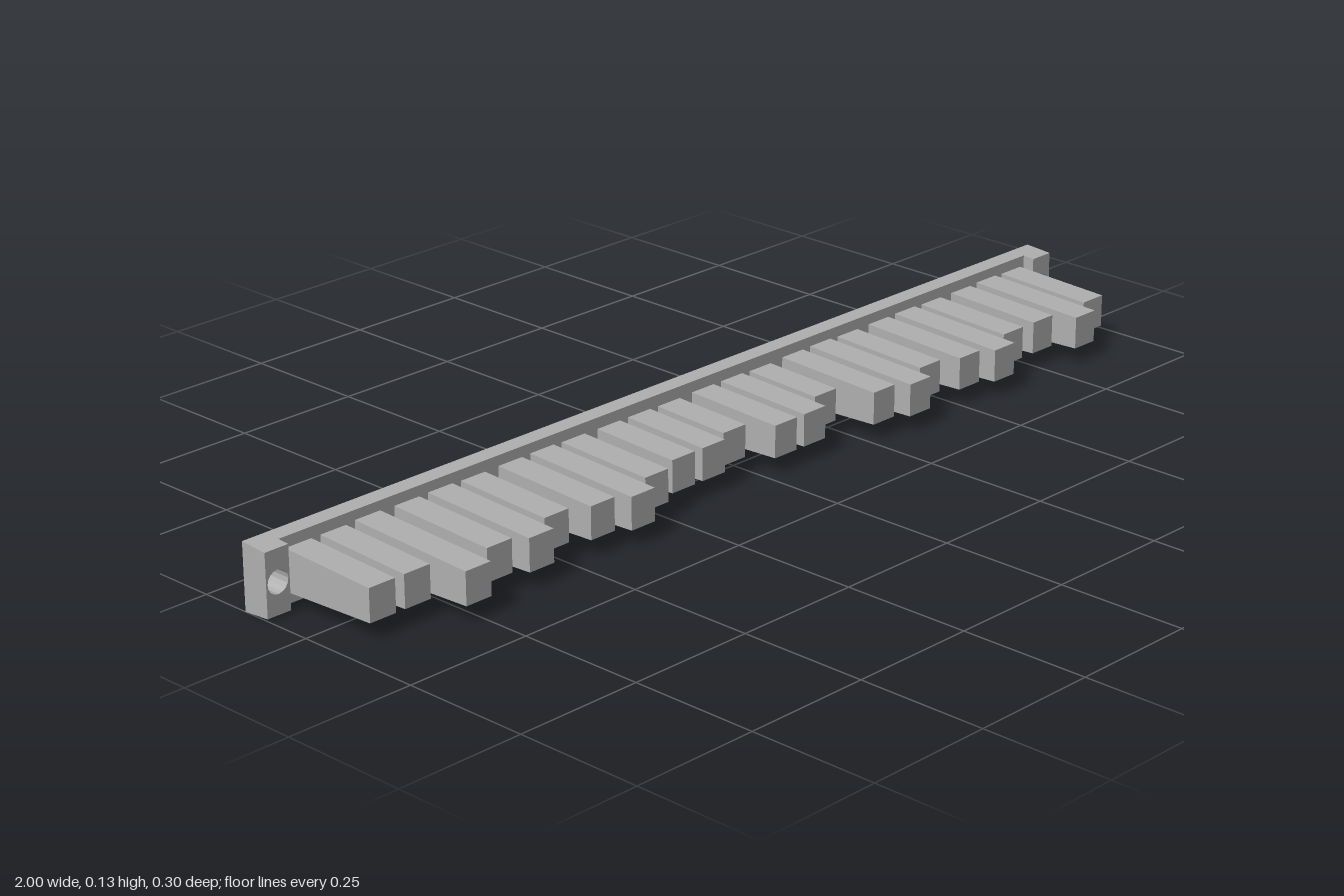
import * as THREE from 'three';

const BACK = -0.15, HEIGHT = 0.126, MID = HEIGHT / 2;

// Drafted faces: outer edges lean toward mid height as z moves forward
function draft(geometry, slope) {
  const p = geometry.attributes.position;
  for (let i = 0; i < p.count; i++) {
    const dy = p.getY(i) - MID;
    if (Math.abs(dy) > 0.028) {
      p.setY(i, p.getY(i) - Math.sign(dy) * slope * (p.getZ(i) - BACK));
    }
  }
  geometry.computeVertexNormals();
  return geometry;
}

export function createModel() {
  const group = new THREE.Group();
  const grey = new THREE.MeshStandardMaterial({ color: 0xb0b0b0 });
  grey.name = 'grey';

  const add = (name, geometry) => {
    const mesh = new THREE.Mesh(geometry, grey);
    mesh.name = name;
    group.add(mesh);
  };

  // Long back rail
  const rail = new THREE.BoxGeometry(1.9, HEIGHT, 0.032);
  rail.translate(0, MID, BACK + 0.016);
  add('backRail', draft(rail, 0.07));

  // Thicker end blocks with through holes for screws
  for (const side of [-1, 1]) {
    const outline = new THREE.Shape();
    outline.moveTo(-0.025, 0).lineTo(0.025, 0).lineTo(0.025, HEIGHT).lineTo(-0.025, HEIGHT).closePath();
    const hole = new THREE.Path();
    hole.absarc(0, MID, 0.022, 0, Math.PI * 2, true);
    outline.holes.push(hole);
    const block = new THREE.ExtrudeGeometry(outline, { depth: 0.056, bevelEnabled: false, curveSegments: 8 });
    block.translate(side * 0.975, 0, BACK);
    add(side > 0 ? 'leftEndBlock' : 'rightEndBlock', draft(block, 0.07));
  }

  // Teeth in groups of three; each number is a front z position
  const fronts = [
    [0.086, 0.086, 0.15], [0.107, 0.128, 0.086], [0.107, 0.128, 0.086], [0.065, 0.065, 0.043],
    [0.086, 0.086, 0.043], [0.107, 0.128, 0.086], [0.107, 0.128, 0.086], [0.086, 0.128, 0.086],
  ];
  const start = BACK + 0.031, slope = 0.04, endHalf = 0.031;
  fronts.forEach((set, g) => set.forEach((front, i) => {
    const length = front - start;
    const tooth = new THREE.BoxGeometry(0.056, 2, length);
    tooth.translate(-0.909 + g * 0.2385 + i * 0.0755, 0, start + length / 2);
    // Every tooth ends at the same height and widens toward the rail
    const p = tooth.attributes.position;
    for (let v = 0; v < p.count; v++) {
      p.setY(v, 0.064 + p.getY(v) * (endHalf + slope * (front - p.getZ(v))));
    }
    tooth.computeVertexNormals();
    add('tooth' + (g * 3 + i + 1), tooth);
  }));

  return group;
}
